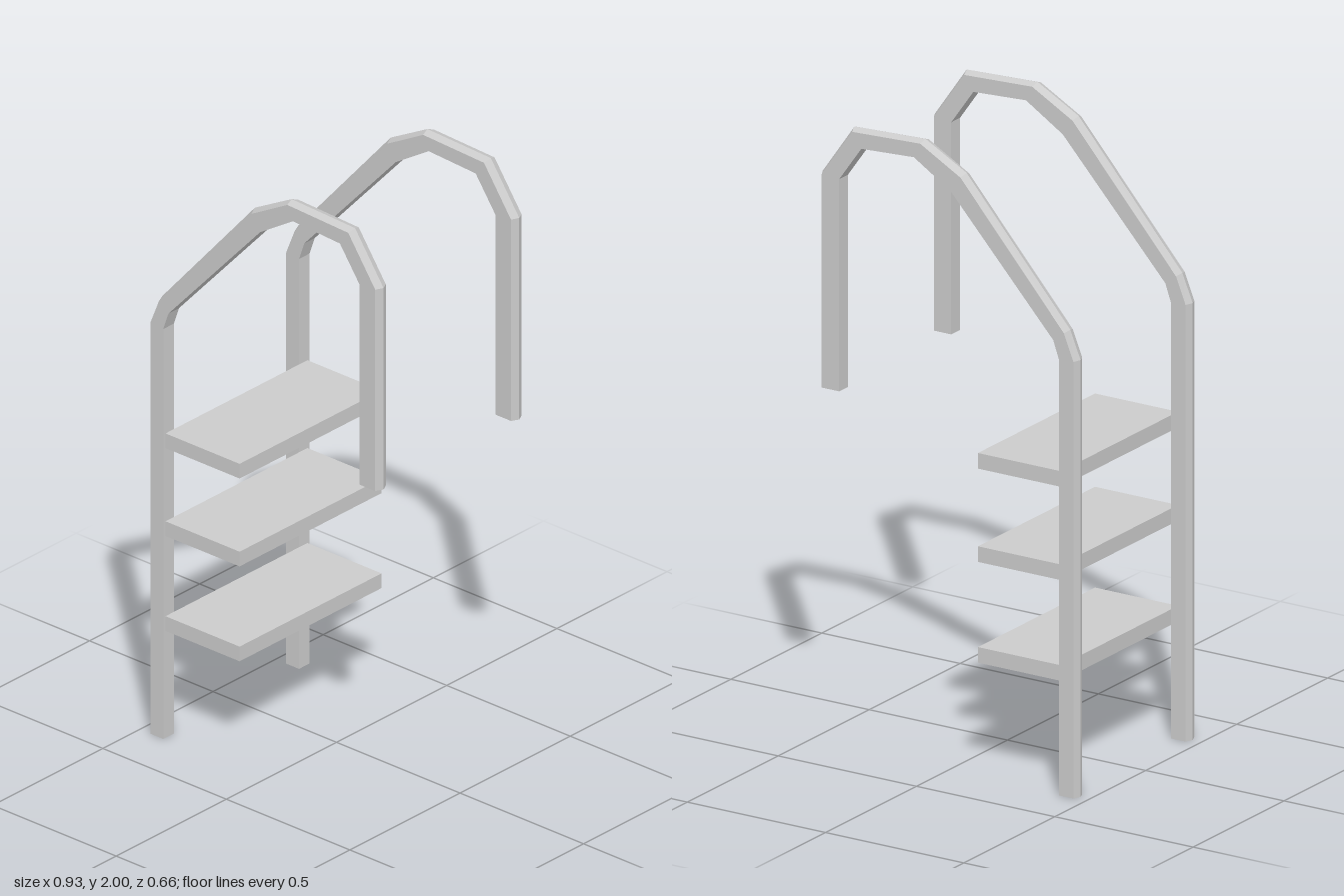
import * as THREE from 'three';

// Handrail edge in the xy plane: outer ridge and matching inner face, foot to tip
const OUTER = [[-0.467, 0], [-0.467, 1.4], [-0.43, 1.49], [-0.055, 1.92], [0.093, 2], [0.35, 1.99], [0.465, 1.826], [0.465, 1.14]];
const INNER = [[-0.405, 0], [-0.405, 1.395], [-0.384, 1.455], [-0.013, 1.86], [0.12, 1.943], [0.31, 1.933], [0.39, 1.82], [0.39, 1.14]];
const RAIL_Z = 0.308;
const HALF = 0.024;

// Open-ended bar with a five-sided section: flat inside, low ridge outside
function railGeometry() {
  const pos = [], index = [];
  OUTER.forEach(([ox, oy], i) => {
    const [ix, iy] = INNER[i];
    const sx = ox + (ix - ox) * 0.16, sy = oy + (iy - oy) * 0.16;
    pos.push(ix, iy, -HALF, ix, iy, HALF, sx, sy, HALF, ox, oy, 0, sx, sy, -HALF);
    if (i === 0) return;
    for (let k = 0; k < 5; k++) {
      const a = (i - 1) * 5 + k, b = (i - 1) * 5 + (k + 1) % 5;
      index.push(a, a + 5, b, b, a + 5, b + 5);
    }
  });
  const g = new THREE.BufferGeometry();
  g.setAttribute('position', new THREE.Float32BufferAttribute(pos, 3));
  g.setIndex(index);
  const flat = g.toNonIndexed();
  flat.computeVertexNormals();
  return flat;
}

export function createModel() {
  const model = new THREE.Group();
  model.name = 'poolLadder';
  const material = new THREE.MeshStandardMaterial({ color: 0xcccccc, flatShading: true, side: THREE.DoubleSide });

  // Pair of handrails
  const rail = railGeometry();
  for (const [name, z] of [['frontHandrail', RAIL_Z], ['backHandrail', -RAIL_Z]]) {
    const mesh = new THREE.Mesh(rail, material);
    mesh.name = name;
    mesh.position.z = z;
    model.add(mesh);
  }

  // Treads
  const tread = new THREE.BoxGeometry(0.3, 0.05, 0.644);
  [0.389, 0.712, 1.011].forEach((y, i) => {
    const mesh = new THREE.Mesh(tread, material);
    mesh.name = `step${i + 1}`;
    mesh.position.set(-0.255, y, 0);
    model.add(mesh);
  });

  return model;
}
